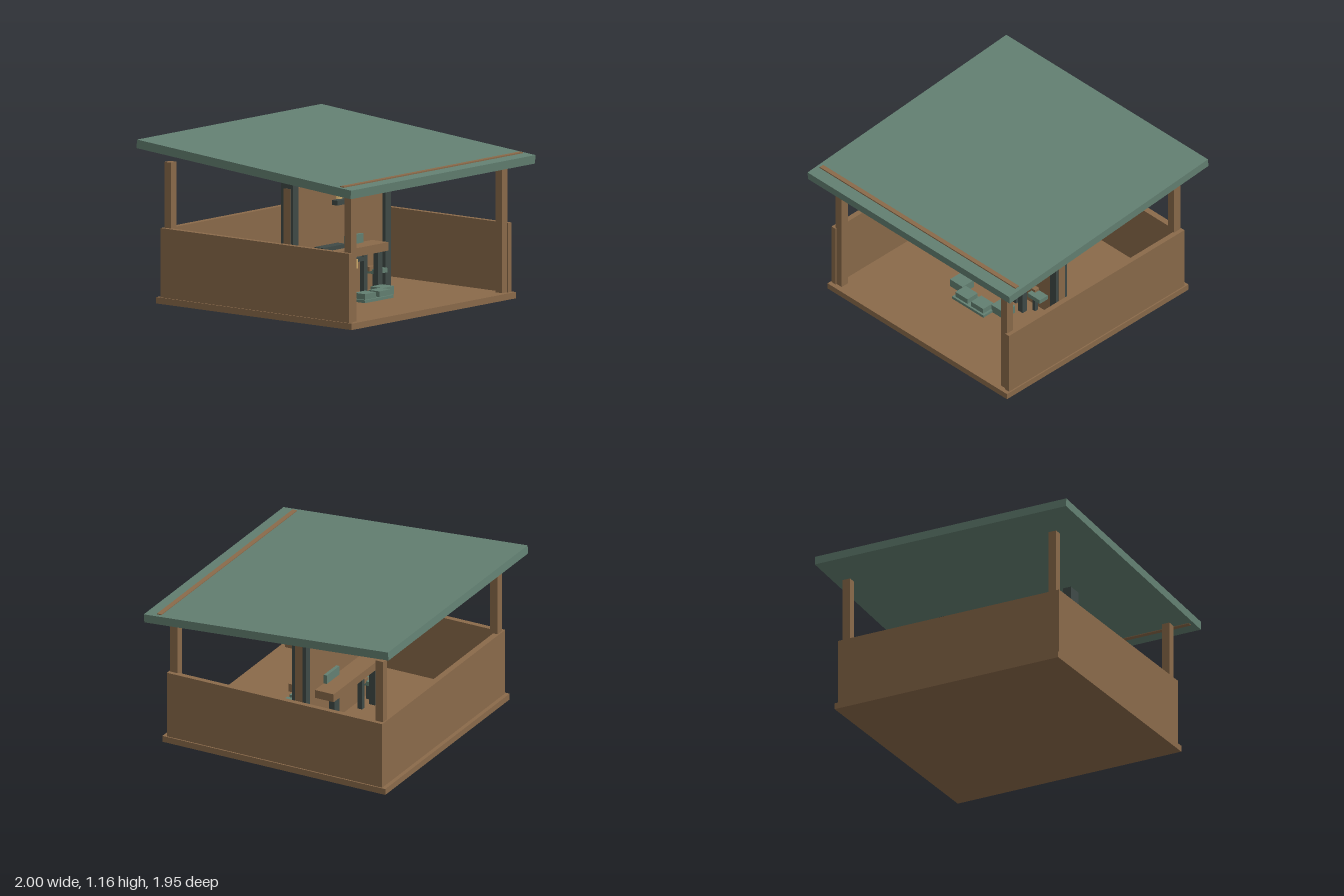
import * as THREE from 'three';

const mat = (name, color) => {
  const m = new THREE.MeshStandardMaterial({ color });
  m.name = name;
  return m;
};

export function createModel() {
  const wood = mat('wood brown', 0x8a6a4a);
  const green = mat('sage green', 0x638072);
  const dark = mat('dark slate', 0x3f4a47);
  const cream = mat('lamp cream', 0xcdab6c);

  const model = new THREE.Group();
  model.name = 'pavilion';

  // Box given by its min and max along each axis
  const box = (name, m, [x0, x1], [y0, y1], [z0, z1], parent = model) => {
    const mesh = new THREE.Mesh(new THREE.BoxGeometry(x1 - x0, y1 - y0, z1 - z0), m);
    mesh.position.set((x0 + x1) / 2, (y0 + y1) / 2, (z0 + z1) / 2);
    mesh.name = name;
    parent.add(mesh);
    return mesh;
  };
  // Box centred on x and z, sized w by d
  const block = (name, m, x, z, w, d, y0, y1, parent) =>
    box(name, m, [x - w / 2, x + w / 2], [y0, y1], [z - d / 2, z + d / 2], parent);
  const group = (name) => {
    const g = new THREE.Group();
    g.name = name;
    model.add(g);
    return g;
  };

  // Floor and low walls, open at the front
  block('floor', wood, 0, 0, 1.78, 1.78, 0, 0.045);
  box('backWall', wood, [-0.88, 0.88], [0.045, 0.535], [-0.86, -0.815]);
  for (const s of [-1, 1]) {
    block('sideWall', wood, s * 0.86, 0.0225, 0.04, 1.675, 0.045, 0.535);
    block('frontPost', wood, s * 0.82, 0.82, 0.06, 0.06, 0.045, 0.965);
    block('backPost', wood, s * 0.82, -0.82, 0.06, 0.06, 0.045, 1.0);
    block('centrePost', dark, s * 0.5, 0, 0.06, 0.11, 0.002, 0.965);
  }

  // Divider between the centre posts
  block('dividerPanel', wood, 0, 0, 1.07, 0.06, 0.045, 0.86);

  // Sloping roof with a beam let in along its front
  const roof = block('roof', green, 0, 0, 2, 1.956, 1.025, 1.086);
  roof.rotation.x = Math.atan(0.0795);
  block('frontBeam', wood, 0, 0.87, 1.94, 0.035, 0.952, 1.024);

  // Lantern
  const lantern = group('lantern');
  block('lanternBase', dark, 0, 0, 0.16, 0.16, 0.692, 0.726, lantern);
  block('lanternCap', dark, 0, 0, 0.16, 0.16, 0.9, 0.935, lantern);
  block('lanternNeck', dark, 0, 0, 0.04, 0.08, 0.885, 0.9, lantern);
  const glow = new THREE.Mesh(new THREE.CylinderGeometry(0.046, 0.046, 0.16, 16), cream);
  glow.position.y = 0.806;
  glow.name = 'lanternLight';
  lantern.add(glow);

  // Table with outer legs and an inner frame on each side
  const table = group('table');
  block('tableTop', wood, 0, 0, 0.71, 0.36, 0.33, 0.39, table);
  for (const z of [-1, 1]) {
    for (const x of [-1, 1]) {
      block('tableLeg', dark, x * 0.287, z * 0.14, 0.045, 0.045, 0.002, 0.33, table);
      block('frameLeg', dark, x * 0.182, z * 0.1, 0.036, 0.036, 0.045, 0.33, table);
    }
    block('frameRail', dark, 0, z * 0.1, 0.36, 0.03, 0.275, 0.305, table);
  }
  block('tableLamp', cream, 0, 0.15, 0.056, 0.05, 0.245, 0.31, table);
  block('tray', dark, -0.145, 0.07, 0.25, 0.08, 0.39, 0.418, table);
  block('storageBox', green, 0.14, 0, 0.18, 0.11, 0.39, 0.455, table);

  // Side stools
  for (const s of [-1, 1]) {
    const stool = group(s > 0 ? 'leftStool' : 'rightStool');
    block('stoolSeat', green, s * 0.365, 0, 0.12, 0.22, 0.16, 0.192, stool);
    for (const z of [-0.07, 0.07])
      block('stoolLeg', dark, s * 0.343, z, 0.024, 0.03, 0.045, 0.16, stool);
    block('stoolBracket', wood, s * 0.31, 0, 0.06, 0.14, 0.18, 0.212, stool);
  }

  // Floor cushions in front of the table
  const cushions = group('floorCushions');
  block('cushionPad', green, 0, 0.33, 0.31, 0.13, 0.045, 0.065, cushions);
  for (const s of [-1, 1]) {
    block('innerCushion', green, s * 0.078, 0.33, 0.12, 0.1, 0.065, 0.105, cushions);
    block('outerCushion', green, s * 0.205, 0.25, 0.125, 0.11, 0.045, 0.105, cushions);
  }

  return model;
}
